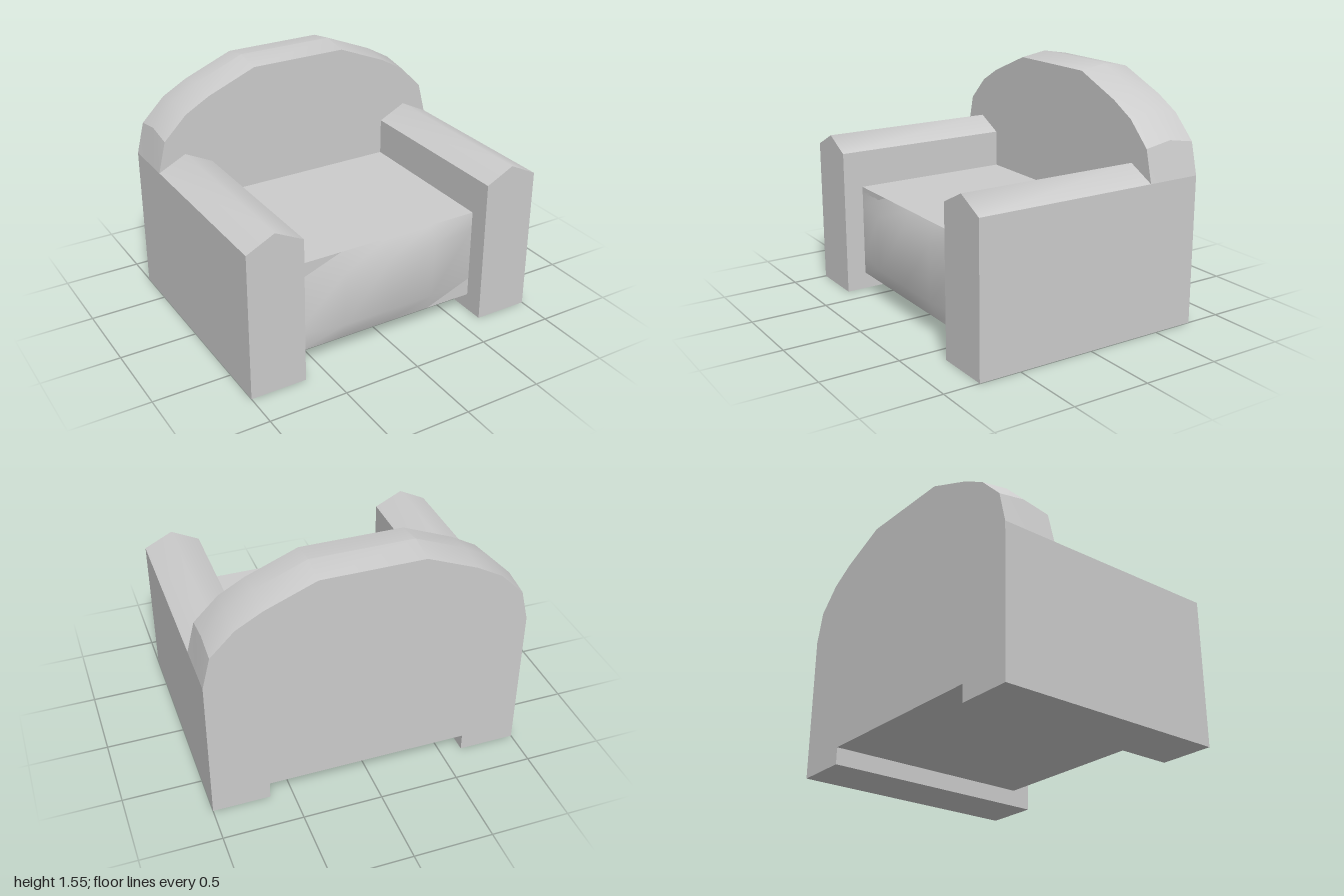
import * as THREE from 'three';
import { mergeGeometries, toCreasedNormals } from 'three/addons/utils/BufferGeometryUtils.js';

const Z_BACK = -0.77, Z_MID = -0.595, Z_REST = -0.415, Z_FRONT = 0.77;
const ARM_IN = 0.64, ARM_TOP = 0.95, SEAT_LOW = 0.11, SEAT_TOP = 0.71, SEAT_FRONT = 0.64;

const material = new THREE.MeshStandardMaterial({ color: 0xcccccc });

function part(name, geometry) {
  const mesh = new THREE.Mesh(geometry, material);
  mesh.name = name;
  return mesh;
}

// Surface through a grid of points, smooth below the crease angle
function sheet(rows, crease) {
  const n = rows[0].length, index = [];
  for (let r = 0; r < rows.length - 1; r++) {
    for (let c = 0; c < n - 1; c++) {
      const a = r * n + c, b = a + 1, d = a + n, e = d + 1;
      index.push(a, b, e, a, e, d);
    }
  }
  const g = new THREE.BufferGeometry();
  g.setAttribute('position', new THREE.Float32BufferAttribute(rows.flat(2), 3));
  g.setIndex(index);
  return clean(toCreasedNormals(g, crease));
}

// Keep only the attributes the merged parts share
function clean(g) {
  const flat = g.index ? g.toNonIndexed() : g;
  flat.deleteAttribute('uv');
  return flat;
}

const toShape = (pts) => new THREE.Shape(pts.map(([x, y]) => new THREE.Vector2(x, y)));

// Armrest with a low ridged top
function makeArm() {
  const mid = (ARM_IN + 1) / 2;
  const shape = toShape([[ARM_IN, 0], [1, 0], [1, ARM_TOP], [mid, 1.04], [ARM_IN, ARM_TOP]]);
  const g = new THREE.ExtrudeGeometry(shape, { depth: Z_FRONT - Z_REST, bevelEnabled: false });
  g.translate(0, 0, Z_REST);
  return toCreasedNormals(g, 1.0);
}

// Arched backrest with a crowned rim and two feet
function makeBack() {
  const half = [[1, ARM_TOP], [0.95, 1.15], [0.8, 1.3], [0.64, 1.39], [0.32, 1.52]];
  const arch = [...half, ...half.map(([x, y]) => [-x, y]).reverse()];
  const base = [[-1, ARM_TOP], [-1, 0], [-ARM_IN, 0], [-ARM_IN, SEAT_LOW],
    [ARM_IN, SEAT_LOW], [ARM_IN, 0], [1, 0], [1, ARM_TOP]];
  const ring = (pts, z, lift) =>
    pts.map(([x, y]) => [x, y > ARM_TOP ? y + lift : y, z]);

  const rim = sheet([ring(arch, Z_BACK, 0), ring(arch, Z_MID, 0.03), ring(arch, Z_REST, 0)], 0.5);
  const walls = sheet([ring(base, Z_BACK, 0), ring(base, Z_REST, 0)], 0.5);
  const shape = toShape([...arch, ...base.slice(1, -1)]);
  const front = clean(new THREE.ShapeGeometry(shape).translate(0, 0, Z_REST));
  const rear = clean(new THREE.ShapeGeometry(shape).rotateY(Math.PI).translate(0, 0, Z_BACK));
  return mergeGeometries([rim, walls, front, rear]);
}

// Softly bulging front of the seat
function makeSeatFront() {
  const xs = [-ARM_IN, -0.32, 0, 0.32, ARM_IN];
  const ys = [SEAT_LOW, 0.23, 0.59, SEAT_TOP];
  const rows = ys.map((y, r) => xs.map((x, c) => {
    const inner = r > 0 && r < ys.length - 1 && c > 0 && c < xs.length - 1;
    return [x, y, inner ? SEAT_FRONT + 0.05 : SEAT_FRONT];
  }));
  return sheet(rows, 1.2);
}

export function createModel() {
  const chair = new THREE.Group();
  chair.name = 'armchair';

  const arm = makeArm();
  chair.add(part('leftArm', arm));
  // The arm is symmetric about its own ridge, so the other side is a shifted copy
  chair.add(part('rightArm', arm.clone().translate(-1 - ARM_IN, 0, 0)));

  chair.add(part('backrest', makeBack()));

  const seat = new THREE.Group();
  seat.name = 'seat';
  const block = new THREE.BoxGeometry(2 * ARM_IN, SEAT_TOP - SEAT_LOW, SEAT_FRONT - Z_REST);
  block.translate(0, (SEAT_TOP + SEAT_LOW) / 2, (SEAT_FRONT + Z_REST) / 2);
  seat.add(part('seatBlock', block), part('seatFront', makeSeatFront()));
  chair.add(seat);

  return chair;
}
